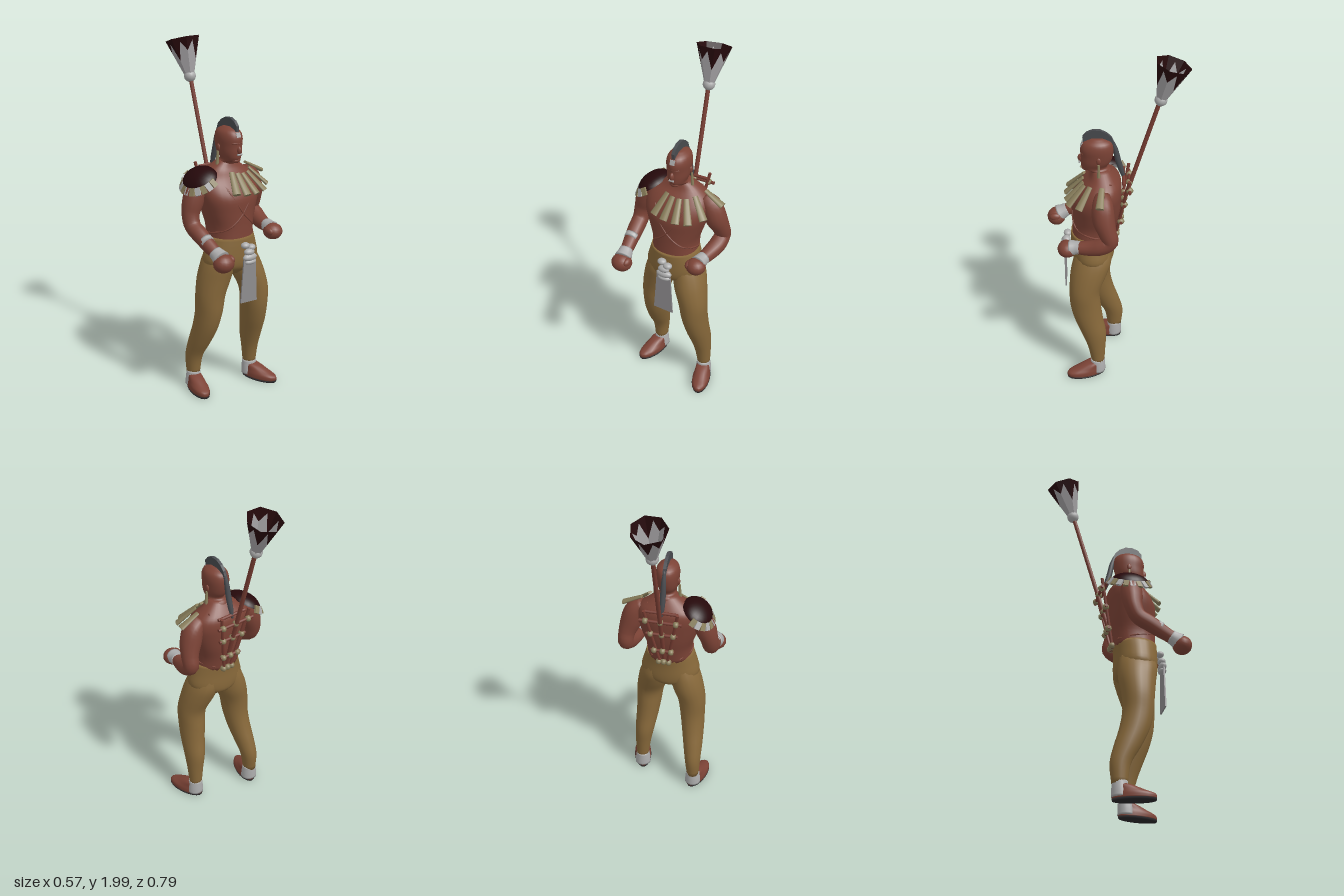
import * as THREE from 'three';

const V = (x, y, z) => new THREE.Vector3(x, y, z);
const mat = (name, color, side = THREE.FrontSide) => {
  const m = new THREE.MeshStandardMaterial({ color, side });
  m.name = name;
  return m;
};

// Smooth closed body through rows of [x, y, z, radiusA, radiusB].
// level = true keeps every ring horizontal (rows must then rise in y).
function loft(rows, { level = true, sides = 18, steps = 4, power = 1 } = {}) {
  const mid = new THREE.CatmullRomCurve3(rows.map(r => V(r[0], r[1], r[2])), false, 'catmullrom', 0.5);
  const rad = new THREE.CatmullRomCurve3(rows.map(r => V(r[3], r[4] ?? r[3], 0)), false, 'catmullrom', 0.5);
  const n = (rows.length - 1) * steps, pos = [], idx = [];
  const bend = v => Math.sign(v) * Math.abs(v) ** power;
  for (let i = 0; i <= n; i++) {
    const c = mid.getPoint(i / n), r = rad.getPoint(i / n);
    const t = level ? V(0, 1, 0) : mid.getTangent(i / n);
    const u = V(1, 0, 0).addScaledVector(t, -t.x).normalize();
    const v = t.clone().cross(u);
    for (let j = 0; j < sides; j++) {
      const a = j / sides * Math.PI * 2;
      const p = c.clone().addScaledVector(u, r.x * bend(Math.cos(a))).addScaledVector(v, r.y * bend(Math.sin(a)));
      pos.push(p.x, p.y, p.z);
    }
  }
  for (let i = 0; i < n; i++) for (let j = 0; j < sides; j++) {
    const k = (j + 1) % sides, a = i * sides + j, b = i * sides + k;
    idx.push(a, b, a + sides, b, b + sides, a + sides);
  }
  // End caps
  for (const i of [0, n]) {
    const c = mid.getPoint(i / n), hub = pos.length / 3;
    pos.push(c.x, c.y, c.z);
    for (let j = 0; j < sides; j++) {
      const a = i * sides + j, b = i * sides + (j + 1) % sides;
      i ? idx.push(hub, a, b) : idx.push(hub, b, a);
    }
  }
  const g = new THREE.BufferGeometry();
  g.setAttribute('position', new THREE.Float32BufferAttribute(pos, 3));
  g.setIndex(idx);
  g.computeVertexNormals();
  return g;
}

export function createModel() {
  const root = new THREE.Group();
  const skin = mat('skin', 0x7c4336), pants = mat('tan cloth', 0x87683a), bone = mat('bone', 0x8a7f5c);
  const white = mat('pale wrap', 0xacacac), maroon = mat('dark maroon', 0x26090b, THREE.DoubleSide);
  const wood = mat('red wood', 0x783d32), hair = mat('charcoal hair', 0x484a4e), sole = mat('dark sole', 0x2b292b);
  const cloth = mat('grey cloth', 0x8e8c8e, THREE.DoubleSide), plume = mat('pale feather', 0xa4a2a4, THREE.DoubleSide);

  const add = (name, geo, m, parent = root) => {
    const mesh = new THREE.Mesh(geo, m);
    mesh.name = name;
    parent.add(mesh);
    return mesh;
  };
  const ball = (name, m, [x, y, z], [a, b, c], parent = root) => {
    const s = add(name, new THREE.SphereGeometry(1, 16, 12), m, parent);
    s.position.set(x, y, z);
    s.scale.set(a, b, c);
    return s;
  };
  const rod = (name, m, p, q, r0, r1 = r0, sides = 8) => {
    const a = V(...p), b = V(...q), s = add(name, new THREE.CylinderGeometry(r1, r0, a.distanceTo(b), sides), m);
    s.position.copy(a).add(b).multiplyScalar(0.5);
    s.quaternion.setFromUnitVectors(V(0, 1, 0), b.sub(a).normalize());
    return s;
  };
  const box = (name, m, size, [x, y, z], parent = root) => {
    const s = add(name, new THREE.BoxGeometry(...size), m, parent);
    s.position.set(x, y, z);
    return s;
  };

  // Torso, neck and head
  add('torso', loft([[0, .92, .126, .13, .119], [0, 1, .117, .13, .125], [0, 1.08, .109, .154, .133],
    [0, 1.16, .105, .178, .137], [0, 1.22, .09, .184, .125], [0, 1.27, .075, .165, .103],
    [.005, 1.31, .07, .112, .072], [.01, 1.355, .08, .05, .045]], { sides: 28, power: .88 }), skin);
  add('head', loft([[.01, 1.3, .07, .06, .055], [.01, 1.345, .08, .054, .058], [.01, 1.365, .113, .046, .068],
    [.01, 1.4, .106, .058, .082], [.01, 1.44, .1, .063, .088], [.01, 1.485, .1, .065, .09],
    [.01, 1.52, .098, .054, .074], [.01, 1.542, .098, .022, .03]], { sides: 22 }), skin);
  ball('nose', skin, [.01, 1.42, .186], [.012, .024, .018]);
  ball('brow', skin, [.01, 1.458, .166], [.04, .012, .024]);
  ball('chin', skin, [.01, 1.362, .165], [.026, .016, .018]);
  for (const s of [-1, 1]) {
    ball('ear', skin, [.01 + s * .063, 1.43, .09], [.008, .02, .013]);
    rod('earring', bone, [.01 + s * .072, 1.335, .09], [.01 + s * .068, 1.41, .09], .009, .006);
  }
  box('foreheadMark', white, [.028, .028, .008], [.01, 1.503, .18]).rotation.x = -.35;
  rod('noseOrnament', white, [-.004, 1.398, .194], [.024, 1.398, .194], .006);

  // Crest of hair and its braid
  const crest = new THREE.Shape([[.175, 1.52], [.176, 1.55], [.155, 1.575], [.12, 1.59], [.08, 1.588], [.045, 1.57],
    [.02, 1.545], [.002, 1.5], [.02, 1.48], [.1, 1.5]].map(p => new THREE.Vector2(...p)));
  const crestGeo = new THREE.ExtrudeGeometry(crest, { depth: .018, bevelEnabled: false });
  add('hairCrest', crestGeo.rotateY(-Math.PI / 2).translate(.019, 0, 0), hair);
  add('braid', loft([[.01, 1.53, .02, .008], [.01, 1.47, .0, .014], [.01, 1.4, -.015, .016], [.01, 1.33, -.035, .014],
    [.01, 1.28, -.05, .006]], { level: false, sides: 8 }), hair);

  // Arms, fists and wrist wraps
  const arm = { level: false, sides: 14 };
  add('leftArm', loft([[.14, 1.265, .07, .04], [.188, 1.222, .07, .058], [.213, 1.15, .065, .062], [.235, 1.08, .045, .05],
    [.24, 1.02, .03, .045], [.235, .985, .08, .047], [.22, .965, .14, .043], [.203, .955, .22, .034]], arm), skin);
  add('rightArm', loft([[-.14, 1.265, .07, .04], [-.188, 1.222, .07, .058], [-.216, 1.15, .07, .06], [-.236, 1.08, .075, .05],
    [-.24, 1.02, .1, .046], [-.238, .985, .16, .045], [-.235, .95, .22, .041], [-.23, .905, .3, .034]], arm), skin);
  add('leftWristWrap', loft([[.211, .962, .195, .036], [.204, .958, .22, .039], [.199, .952, .25, .046]], arm), white);
  add('rightWristWrap', loft([[-.233, .92, .278, .037], [-.23, .906, .302, .042], [-.228, .892, .328, .05]], arm), white);
  add('forearmPatch', loft([[-.236, .966, .2, .041], [-.236, .954, .228, .039]], arm), white);
  ball('leftFist', skin, [.195, .943, .267], [.055, .046, .054]);
  ball('leftThumb', skin, [.158, .95, .275], [.02, .024, .034]);
  ball('rightFist', skin, [-.227, .872, .345], [.06, .051, .054]);
  ball('rightThumb', skin, [-.188, .89, .35], [.02, .024, .034]);

  // Trousers
  add('trouserSeat', loft([[0, .715, .125, .05, .06], [0, .755, .126, .13, .108], [0, .8, .129, .172, .122],
    [0, .88, .13, .155, .123], [0, .942, .127, .137, .124]], { sides: 26 }), pants);
  const legX = [.172, .168, .16, .15, .141, .133, .107, .088, .07], legY = [.09, .2, .3, .4, .5, .6, .7, .78, .85];
  const legA = [.037, .047, .058, .067, .074, .082, .092, .087, .07];
  const legs = {
    left: [1, [.105, .112, .127, .155, .173, .178, .155, .133, .125], [.038, .052, .072, .082, .088, .088, .105, .11, .1]],
    right: [-1, [.005, .01, .05, .09, .113, .117, .118, .125, .125], [.042, .056, .073, .082, .085, .09, .104, .11, .1]],
  };
  for (const [side, [s, z, b]] of Object.entries(legs)) {
    add(side + 'TrouserLeg', loft(legY.map((y, i) => [s * legX[i], y, z[i], legA[i], b[i]])), pants);
    // Shoe with sole and ankle wrap
    const foot = new THREE.Group();
    foot.name = side + 'Foot';
    foot.position.set(s * .191, 0, z[0] + .072);
    foot.rotation.y = s * .27;
    root.add(foot);
    add('sole', loft([[0, 0, 0, .049, .114], [0, .012, 0, .053, .118]], { steps: 1 }), sole, foot);
    add('shoe', loft([[0, .012, 0, .051, .116], [0, .035, 0, .05, .112], [0, .055, -.02, .044, .083],
      [0, .078, -.048, .038, .055], [0, .09, -.068, .03, .035]]), skin, foot);
    add('ankleWrap', loft([[0, .02, -.071, .048, .047], [0, .06, -.072, .045, .045], [0, .105, -.073, .038, .042]]), white, foot);
  }

  // Belt ornament and hanging cloth
  [[-.012, .905, .272, .026, .018], [.026, .89, .278, .026, .018], [.006, .868, .285, .034, .02], [.008, .838, .288, .047, .022],
    [.01, .812, .288, .04, .016]].forEach(([x, y, z, a, b]) => ball('beltKnot', white, [x, y, z], [a, b, .023]));
  const panel = new THREE.Shape([[-.036, .83], [-.058, .58], [.06, .572], [.048, .83]].map(p => new THREE.Vector2(...p)));
  add('hangingCloth', new THREE.ExtrudeGeometry(panel, { depth: .008, bevelEnabled: false }).translate(0, 0, .284), cloth);

  // Crossed chest straps
  for (const s of [-1, 1]) {
    const path = new THREE.CatmullRomCurve3([V(s * .11, 1.305, .02), V(s * .105, 1.29, .115), V(s * .075, 1.2, .216),
      V(0, 1.08, .241), V(-s * .085, 1, .218), V(-s * .132, .965, .12), V(-s * .08, .95, .015)]);
    add('chestStrap', new THREE.TubeGeometry(path, 40, .005, 6), skin);
  }

  // Bone collar, fanned round the front and left shoulder: outer end and rise to the inner end
  for (const [x, y, z, rise] of [[-.065, 1.2, .262, .1], [0, 1.19, .275, .1], [.07, 1.185, .272, .1], [.14, 1.19, .258, .1],
    [.205, 1.205, .2, .095], [.262, 1.25, .085, .06]]) {
    const inner = [.02 + (x - .02) * .55, y + rise, .06 + (z - .06) * .55];
    const plate = rod('collarBone', bone, [x, y, z], inner, .024, .015, 10);
    // Flatten across the shoulder surface
    const along = V(0, 1, 0).applyQuaternion(plate.quaternion);
    const across = V(z - .06, 0, .02 - x).normalize();
    plate.quaternion.setFromRotationMatrix(new THREE.Matrix4().makeBasis(across, along, across.clone().cross(along)));
    plate.scale.z = .5;
  }

  // Right shoulder pad with alternating trim
  const pad = new THREE.Group();
  pad.name = 'shoulderPad';
  pad.position.set(-.161, 1.256, .068);
  pad.rotation.z = .58;
  root.add(pad);
  add('padShell', new THREE.SphereGeometry(1, 20, 10, 0, Math.PI * 2, 0, 1.45), maroon, pad).scale.set(.096, .066, .114);
  for (let i = 0; i < 11; i++) {
    const a = -1.6 + i * .32;
    const t = box('padTrim', i % 2 ? white : bone, [.03, .044, .012], [-.1 * Math.cos(a), .012, .116 * Math.sin(a)], pad);
    t.rotation.set(-.5 - .5 * Math.cos(a), Math.atan2(-Math.cos(a), Math.sin(a)), 0, 'YXZ');
  }

  // Carrying frame on the back
  for (const s of [-1, 1]) rod('frameRail', wood, [.01 + s * .095, 1.32, -.075], [.01 + s * .02, .92, .0], .009);
  for (const [y, z, w] of [[1.26, -.077, .12], [1.155, -.048, .09], [1.03, -.03, .068], [.935, -.004, .04]]) {
    rod('frameRung', wood, [.01 - w, y, z], [.01 + w, y, z], .009);
    for (const x of [-.72 * w, 0, .72 * w]) ball('frameLashing', bone, [.01 + x, y, z], [.017, .018, .02]);
  }
  rod('upperRung', wood, [-.08, 1.3, -.045], [.105, 1.3, -.045], .009);

  // Staff with feathered head
  rod('staff', wood, [.01, .92, .018], [.01, 1.78, -.238], .012, .012, 10);
  const head = new THREE.Group();
  head.name = 'staffHead';
  head.position.set(.01, 1.767, -.237);
  head.rotation.x = -.29;
  root.add(head);
  ball('staffKnob', white, [0, 0, 0], [.034, .034, .034], head);
  // Seven-sided open funnel, split along a zigzag between pale and dark feather
  const ringPoint = (j, h) => {
    const corner = k => V(-Math.sin(k * Math.PI * 2 / 7), 0, -Math.cos(k * Math.PI * 2 / 7));
    const k = Math.floor(j / 2), p = corner(k);
    if (j % 2) p.lerp(corner(k + 1), .5);
    p.multiplyScalar(.026 + .073 * h);
    p.y = .21 * h;
    return p;
  };
  const split = j => j % 2 ? .9 : (j % 4 ? .65 : .42);
  const funnel = (lo, hi) => {
    const pts = [];
    for (let j = 0; j < 14; j++) {
      const k = (j + 1) % 14;
      const [a, b, c, d] = [ringPoint(j, lo(j)), ringPoint(k, lo(k)), ringPoint(k, hi(k)), ringPoint(j, hi(j))];
      pts.push(a, b, c, a, c, d);
    }
    const g = new THREE.BufferGeometry().setFromPoints(pts);
    g.computeVertexNormals();
    return g;
  };
  add('featherBase', funnel(() => 0, split), plume, head);
  add('featherTips', funnel(split, () => 1), maroon, head);
  return root;
}
